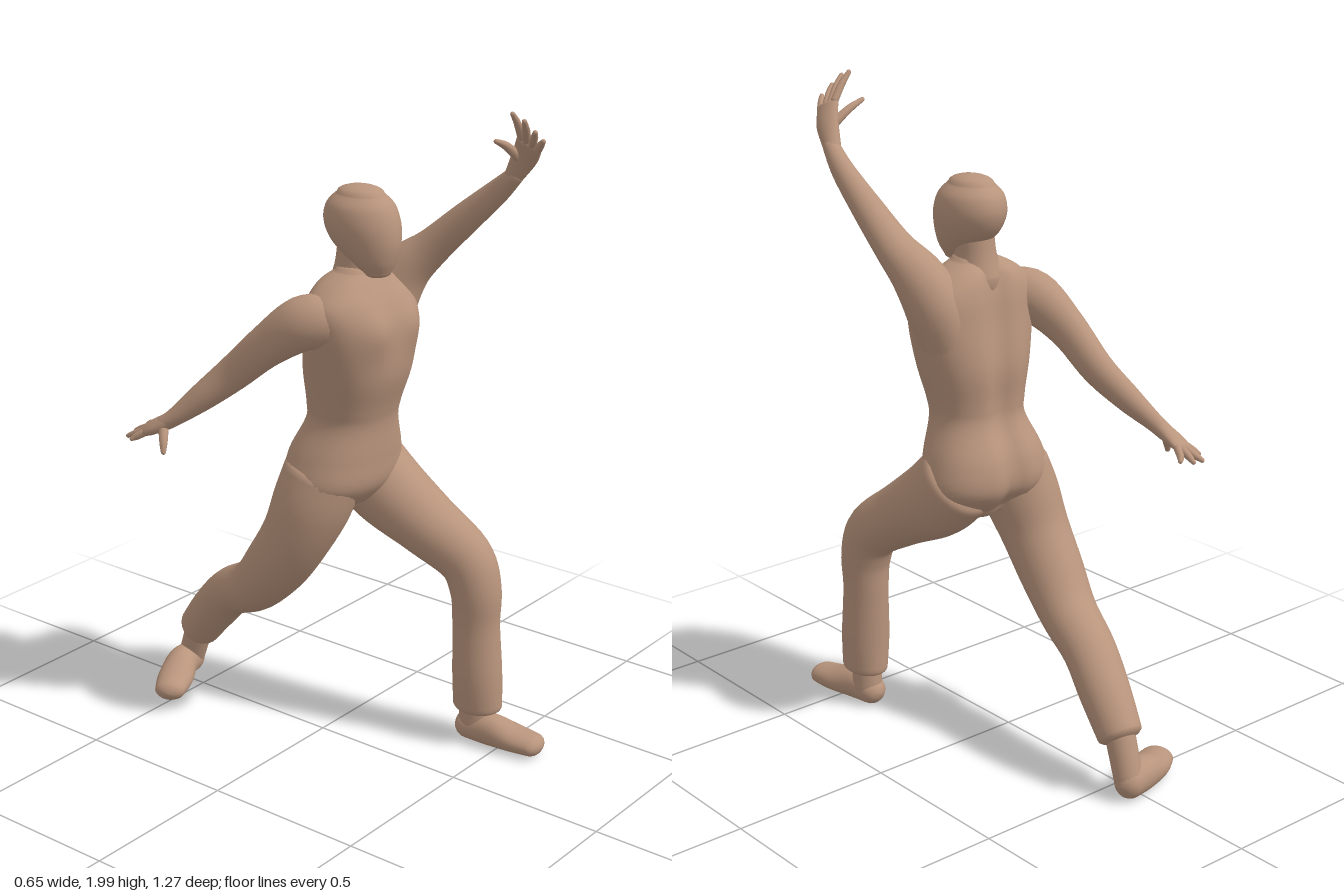
import * as THREE from 'three';

const material = new THREE.MeshStandardMaterial({ color: 0xb8947c });
const V = (a) => new THREE.Vector3(a[0], a[1], a[2]);

// Smooth interpolation of [x, y, z, halfWidth, halfDepth] stations
function sample(stations, t) {
  const n = stations.length - 1;
  const i = Math.min(Math.floor(t * n), n - 1), f = t * n - i;
  const at = (k) => stations[Math.max(0, Math.min(n, k))];
  const [p, q, r, s] = [at(i - 1), at(i), at(i + 1), at(i + 2)];
  return q.map((_, k) => 0.5 * (2 * q[k] + (r[k] - p[k]) * f
    + (2 * p[k] - 5 * q[k] + 4 * r[k] - s[k]) * f * f
    + (3 * q[k] - p[k] - 3 * r[k] + s[k]) * f * f * f));
}

// Closed organic body swept through elliptical stations with domed ends.
// side: direction of halfWidth; upright: keep sections level; shape: moves vertices
function loft(name, stations, { side = [1, 0, 0], upright = false, dome = 1, power = 1, shape = null, around = 28 } = {}) {
  const rings = [], steps = (stations.length - 1) * 6, caps = 5;
  const frame = (t) => {
    const s = sample(stations, t);
    const T = upright ? new THREE.Vector3(0, 1, 0)
      : V(sample(stations, Math.min(1, t + 0.02))).sub(V(sample(stations, Math.max(0, t - 0.02)))).normalize();
    const u = V(side).addScaledVector(T, -T.dot(V(side))).normalize();
    return { c: V(s), T, u, v: T.clone().cross(u), a: s[3], b: s[4] };
  };
  const addCap = (f, angle) => {
    const k = Math.max(Math.cos(angle), 0.001);
    const c = f.c.clone().addScaledVector(f.T, Math.min(f.a, f.b) * dome * Math.sin(angle));
    rings.push({ ...f, c, a: f.a * k, b: f.b * k });
  };
  for (let i = 0; i < caps; i++) addCap(frame(0), (i / caps - 1) * Math.PI / 2);
  for (let i = 0; i <= steps; i++) rings.push(frame(i / steps));
  for (let i = 1; i <= caps; i++) addCap(frame(1), i / caps * Math.PI / 2);

  const pos = [], index = [];
  const soft = (x) => Math.sign(x) * Math.abs(x) ** power;
  rings.forEach((r, i) => {
    for (let j = 0; j < around; j++) {
      const g = j / around * Math.PI * 2;
      const p = r.c.clone().addScaledVector(r.u, r.a * soft(Math.cos(g))).addScaledVector(r.v, r.b * soft(Math.sin(g)));
      if (shape) shape(p, r);
      pos.push(p.x, p.y, p.z);
      if (i < rings.length - 1) {
        const a = i * around + j, b = i * around + (j + 1) % around;
        index.push(a, b, b + around, a, b + around, a + around);
      }
    }
  });
  const geo = new THREE.BufferGeometry();
  geo.setAttribute('position', new THREE.Float32BufferAttribute(pos, 3));
  geo.setIndex(index);
  geo.computeVertexNormals();
  const mesh = new THREE.Mesh(geo, material);
  mesh.name = name;
  return mesh;
}

// Spine and buttock groove at the back, two chest muscles at the front
function torsoShape(p, r) {
  const dx = p.x - r.c.x;
  const bump = (x, w) => Math.exp(-((x / w) ** 2));
  if (p.z < r.c.z) p.z += 0.028 * bump(dx, 0.035) * Math.min(1, r.a / 0.15);
  else p.z += 0.018 * bump(Math.abs(dx) - 0.085, 0.06) * bump(p.y - 1.34, 0.07);
}

// Palm with four fingers and a thumb
function hand(name, palm, side, tips, thumb) {
  const g = new THREE.Group();
  g.name = name;
  g.add(loft('palm', palm, { side, around: 16 }));
  const end = V(palm[palm.length - 1]), dir = V(side).normalize();
  const forward = end.clone().sub(V(palm[0])).normalize();
  tips.forEach((tip, i) => {
    const root = end.clone().addScaledVector(dir, (i - 1.5) * 0.02);
    const mid = root.clone().lerp(V(tip), 0.5).addScaledVector(forward, 0.006);
    g.add(loft('finger', [[...root.toArray(), 0.012, 0.012], [...mid.toArray(), 0.011, 0.011], [...tip, 0.007, 0.007]], { side, around: 10 }));
  });
  g.add(loft('thumb', thumb, { side, around: 10 }));
  return g;
}

const flatSole = (p) => { p.y = Math.max(p.y, 0.005); };

export function createModel() {
  const model = new THREE.Group();
  model.name = 'lungingFigure';

  // Trunk from crotch to neck base
  model.add(loft('torso', [
    [0.08, 0.77, 0.01, 0.13, 0.09], [0.08, 0.84, 0.012, 0.2, 0.145],
    [0.083, 0.93, 0.02, 0.185, 0.147], [0.083, 1.03, 0.045, 0.145, 0.125],
    [0.08, 1.09, 0.055, 0.147, 0.128], [0.078, 1.2, 0.07, 0.172, 0.145],
    [0.073, 1.33, 0.083, 0.2, 0.133], [0.066, 1.41, 0.08, 0.195, 0.115],
    [0.06, 1.465, 0.075, 0.135, 0.09], [0.06, 1.5, 0.08, 0.07, 0.06],
  ], { upright: true, dome: 0.4, power: 0.88, shape: torsoShape, around: 48 }));
  model.add(loft('neck', [[0.06, 1.44, 0.065, 0.075, 0.075], [0.062, 1.51, 0.075, 0.06, 0.065], [0.065, 1.6, 0.085, 0.06, 0.065]]));

  // Head narrowing forward into the jaw
  model.add(loft('head', [
    [0.065, 1.5, 0.145, 0.042, 0.045], [0.066, 1.535, 0.13, 0.066, 0.075],
    [0.067, 1.585, 0.105, 0.086, 0.11], [0.068, 1.64, 0.09, 0.097, 0.12],
    [0.068, 1.69, 0.085, 0.088, 0.106], [0.067, 1.722, 0.085, 0.06, 0.075],
  ], { upright: true, dome: 0.4, around: 36 }));

  // Raised left arm
  model.add(loft('leftArm', [
    [0.19, 1.24, 0.065, 0.065, 0.09], [0.205, 1.36, 0.075, 0.085, 0.095],
    [0.235, 1.46, 0.12, 0.078, 0.078], [0.262, 1.54, 0.2, 0.06, 0.056],
    [0.278, 1.64, 0.305, 0.046, 0.046], [0.285, 1.73, 0.405, 0.034, 0.036], [0.278, 1.79, 0.47, 0.026, 0.026],
  ]));
  model.add(hand('leftHand',
    [[0.28, 1.78, 0.46, 0.026, 0.024], [0.262, 1.85, 0.51, 0.038, 0.021], [0.237, 1.895, 0.54, 0.04, 0.015]],
    [0.055, -0.085, 0.07],
    [[0.165, 1.99, 0.53], [0.163, 1.975, 0.57], [0.18, 1.945, 0.595], [0.215, 1.915, 0.6]],
    [[0.255, 1.85, 0.495, 0.016, 0.016], [0.2, 1.89, 0.488, 0.012, 0.012], [0.148, 1.912, 0.49, 0.007, 0.007]]));

  // Right arm reaching back
  model.add(loft('rightArm', [
    [-0.07, 1.365, 0.075, 0.075, 0.08], [-0.115, 1.36, 0.015, 0.073, 0.08],
    [-0.152, 1.28, -0.09, 0.053, 0.063], [-0.172, 1.18, -0.2, 0.045, 0.053],
    [-0.215, 1.1, -0.285, 0.038, 0.042], [-0.257, 1.035, -0.355, 0.027, 0.028], [-0.27, 1.01, -0.39, 0.027, 0.024],
  ]));
  model.add(hand('rightHand',
    [[-0.265, 1.02, -0.375, 0.027, 0.024], [-0.275, 0.995, -0.42, 0.038, 0.021], [-0.275, 0.98, -0.455, 0.04, 0.015]],
    [0.1, 0.02, -0.03],
    [[-0.323, 0.955, -0.475], [-0.3, 0.95, -0.512], [-0.26, 0.955, -0.517], [-0.223, 0.962, -0.5]],
    [[-0.28, 1.0, -0.385, 0.016, 0.016], [-0.303, 0.965, -0.365, 0.013, 0.013], [-0.315, 0.938, -0.355, 0.008, 0.008]]));

  // Bent front leg with a loose trouser cuff
  model.add(loft('leftLeg', [
    [0.178, 0.86, 0.015, 0.115, 0.125], [0.19, 0.78, 0.1, 0.115, 0.122], [0.21, 0.69, 0.24, 0.1, 0.1],
    [0.235, 0.605, 0.36, 0.084, 0.088], [0.24, 0.51, 0.4, 0.076, 0.08], [0.24, 0.4, 0.405, 0.068, 0.075],
    [0.238, 0.24, 0.415, 0.072, 0.079], [0.24, 0.13, 0.418, 0.065, 0.08],
  ], { dome: 0.4 }));
  model.add(loft('leftAnkle', [[0.24, 0.17, 0.41, 0.045, 0.05], [0.243, 0.06, 0.405, 0.045, 0.05]]));
  model.add(loft('leftFoot', [
    [0.24, 0.05, 0.39, 0.045, 0.045], [0.247, 0.053, 0.46, 0.048, 0.052],
    [0.26, 0.043, 0.54, 0.056, 0.04], [0.267, 0.038, 0.605, 0.05, 0.033],
  ], { shape: flatSole }));

  // Trailing back leg
  model.add(loft('rightLeg', [
    [-0.015, 0.86, 0.01, 0.11, 0.125], [-0.037, 0.77, -0.015, 0.113, 0.122], [-0.055, 0.66, -0.06, 0.103, 0.108],
    [-0.055, 0.55, -0.135, 0.097, 0.1], [-0.04, 0.45, -0.23, 0.088, 0.085], [-0.01, 0.38, -0.355, 0.081, 0.077],
    [0.015, 0.29, -0.45, 0.077, 0.075], [0.032, 0.19, -0.535, 0.067, 0.068],
  ], { dome: 0.4 }));
  model.add(loft('rightAnkle', [[0.035, 0.19, -0.54, 0.045, 0.045], [0.042, 0.07, -0.585, 0.043, 0.043]]));
  model.add(loft('rightFoot', [
    [0.04, 0.058, -0.59, 0.046, 0.05], [-0.02, 0.06, -0.575, 0.052, 0.054],
    [-0.09, 0.045, -0.54, 0.058, 0.042], [-0.15, 0.038, -0.508, 0.05, 0.034],
  ], { side: [0.4, 0, 1], shape: flatSole }));

  return model;
}
